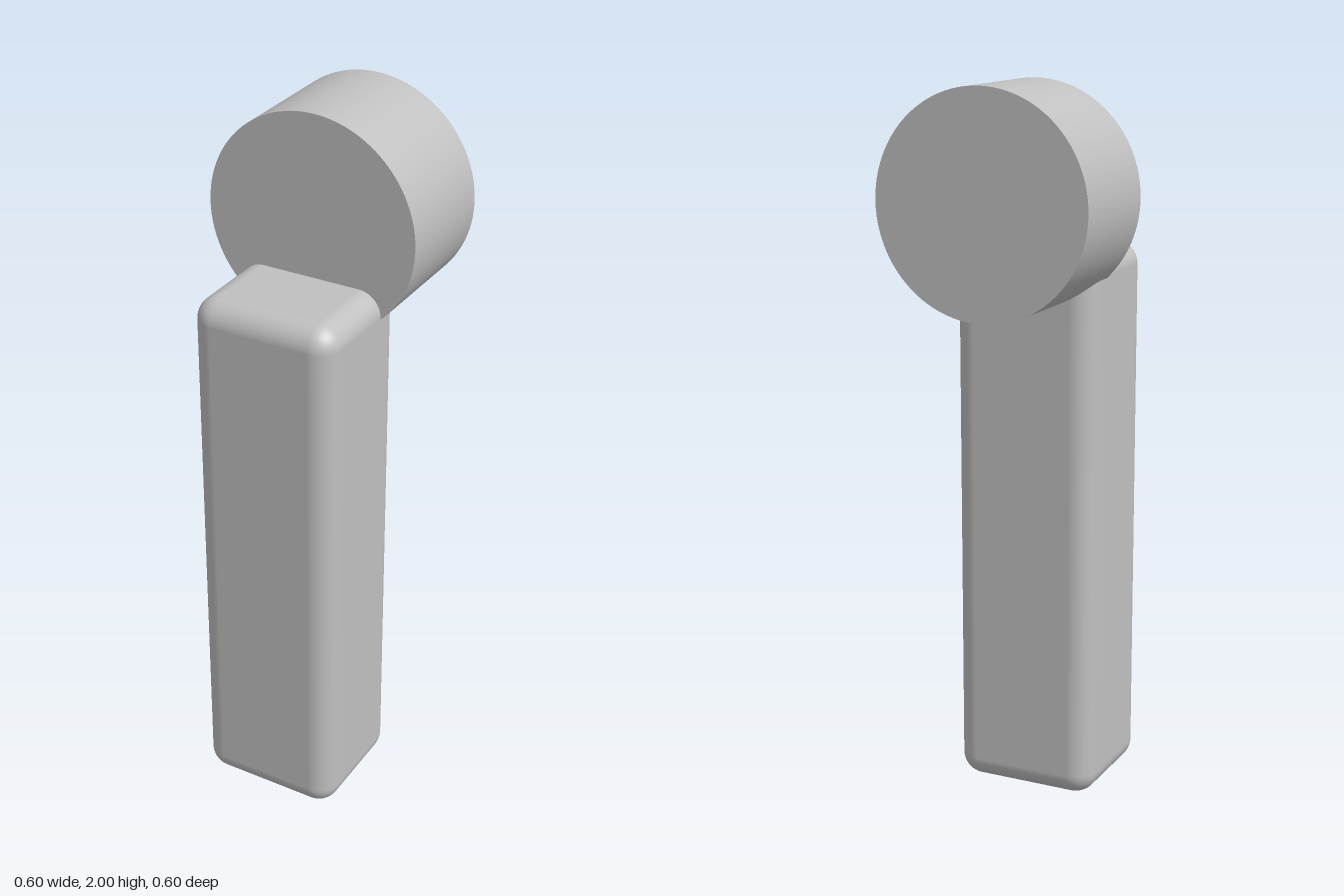
import * as THREE from 'three';
import { RoundedBoxGeometry } from 'three/addons/geometries/RoundedBoxGeometry.js';

export function createModel() {
  const model = new THREE.Group();
  model.name = 'model';
  const grey = new THREE.MeshStandardMaterial({ color: 0xc0c0c0 });
  grey.name = 'light grey';

  // Upright handle with softly rounded edges
  const handle = new THREE.Mesh(new RoundedBoxGeometry(0.416, 1.55, 0.367, 8, 0.065), grey);
  handle.name = 'handle';
  handle.position.set(0, 0.775, 0.1185);
  model.add(handle);

  // Drum-shaped head, axis along z, overlapping the top rear of the handle
  const head = new THREE.Mesh(new THREE.CylinderGeometry(0.302, 0.302, 0.337, 96), grey);
  head.name = 'head';
  head.rotation.x = Math.PI / 2;
  head.position.set(0, 1.698, -0.1335);
  model.add(head);

  return model;
}
